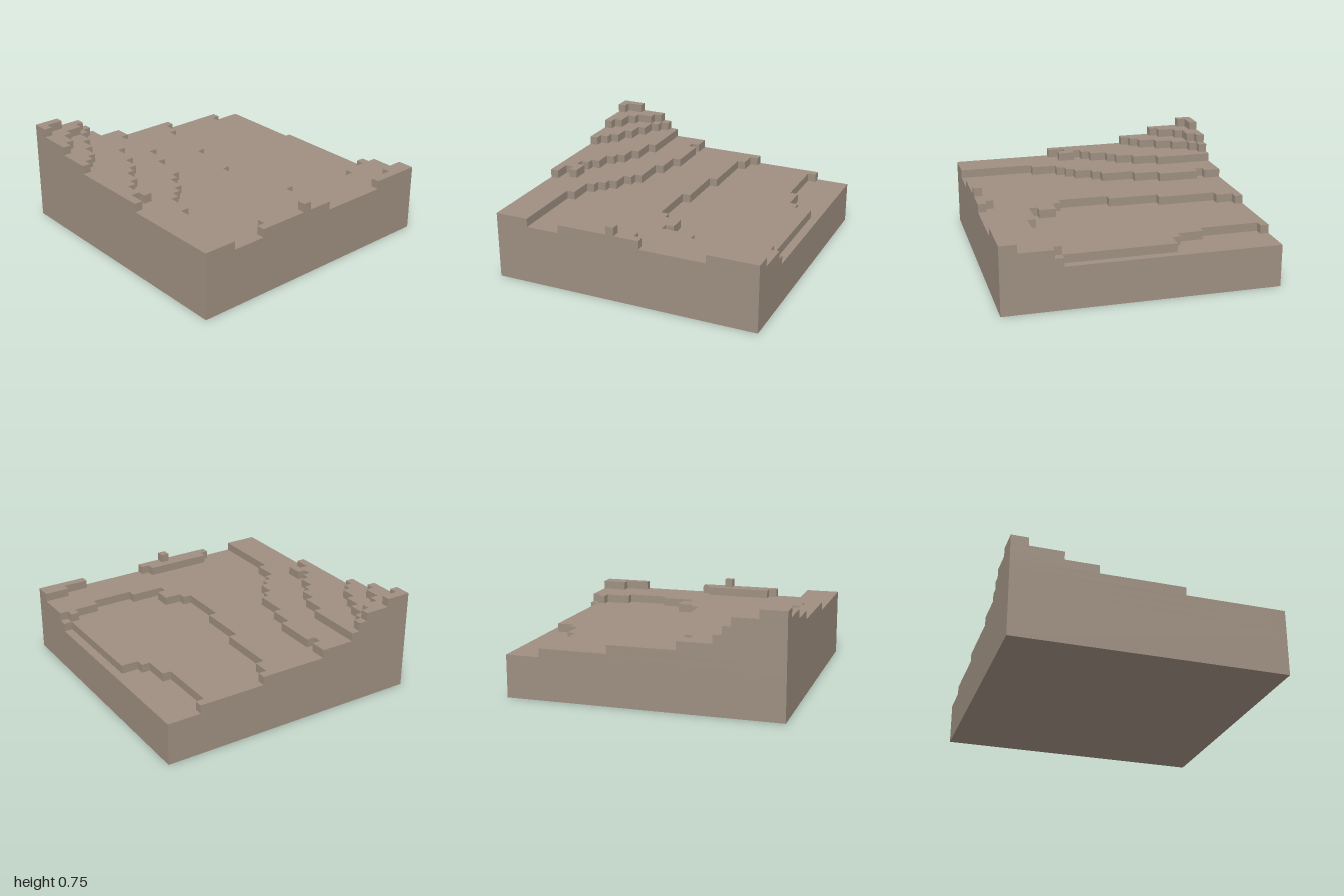
import * as THREE from 'three';

const CELL = 2 / 32; // the terrain is a 32 x 32 grid of cubes
const BASE = 5;      // solid levels under the lowest ground

// Each outline starts at a grid corner (x, z), then alternates moves to a new x and a new z.
const LAYERS = [
  { name: 'basinFloor', outlines: [
    [0, 4, 1, 5, 8, 4, 11, 3, 12, 1, 25, 0, 32, 32, 0]] },
  { name: 'lowGround', outlines: [
    [0, 12, 1, 13, 3, 14, 10, 15, 16, 16, 22, 15, 23, 13, 25, 14, 26, 10, 27, 5, 26, 2, 25, 1, 26, 0, 32, 32, 0]] },
  { name: 'middleGround', outlines: [
    [0, 20, 2, 21, 3, 20, 8, 21, 11, 22, 15, 23, 16, 24, 18, 25, 19, 26, 20, 27, 23, 28, 32, 32, 0],
    [30, 0, 32, 6, 31, 3, 30],
    [30, 15, 31, 14, 32, 24, 31, 23, 30]] },
  { name: 'lowerSlope', outlines: [
    [0, 24, 7, 25, 10, 26, 12, 27, 13, 28, 15, 29, 16, 30, 17, 29, 19, 30, 18, 31, 20, 32, 0],
    [31, 17, 32, 18, 31]] },
  { name: 'middleSlope', outlines: [
    [0, 25, 1, 26, 2, 27, 4, 28, 6, 29, 8, 30, 9, 31, 10, 32, 0]] },
  { name: 'upperSlope', outlines: [
    [0, 26, 1, 27, 2, 29, 3, 30, 5, 31, 6, 32, 0]] },
  { name: 'hilltop', outlines: [
    [0, 29, 1, 31, 2, 32, 0]] },
];

// Turns a stepped outline into a shape; shape y is -z
function stepShape([x0, z0, ...moves]) {
  let x = x0, z = z0;
  const point = () => new THREE.Vector2(x * CELL - 1, 1 - z * CELL);
  const points = [point()];
  moves.forEach((value, i) => {
    if (i % 2 === 0) x = value; else z = value;
    points.push(point());
  });
  return new THREE.Shape(points);
}

export function createModel() {
  const group = new THREE.Group();
  group.name = 'terrain';
  const earth = new THREE.MeshStandardMaterial({ color: 0x9e8f81 });
  earth.name = 'earth';

  // Solid ground block
  const base = new THREE.Mesh(new THREE.BoxGeometry(2, BASE * CELL, 2), earth);
  base.name = 'groundBlock';
  base.position.y = BASE * CELL / 2;
  group.add(base);

  // One-cube-thick terraces stacked on the block
  LAYERS.forEach(({ name, outlines }, level) => {
    const geometry = new THREE.ExtrudeGeometry(outlines.map(stepShape), { depth: CELL, bevelEnabled: false });
    geometry.rotateX(-Math.PI / 2);
    const terrace = new THREE.Mesh(geometry, earth);
    terrace.name = name;
    terrace.position.y = (BASE + level) * CELL;
    group.add(terrace);
  });

  return group;
}
